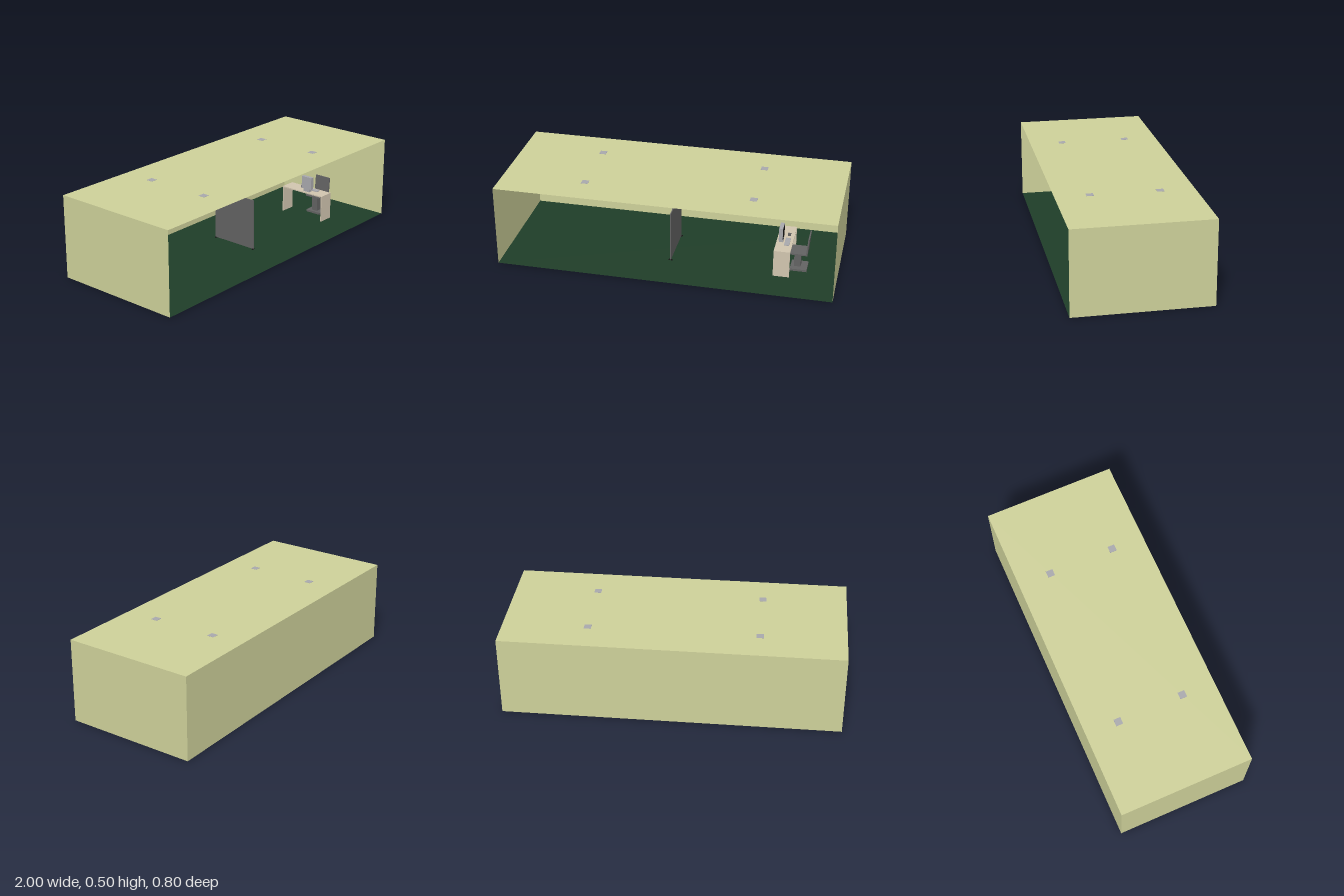
import * as THREE from 'three';

const mat = (color, side = THREE.FrontSide) => new THREE.MeshStandardMaterial({ color, side });
const wallMat = mat(0xcdd099, THREE.DoubleSide);
const floorMat = mat(0x1f3d28, THREE.DoubleSide);
const deskMat = mat(0xd0c4ae);
const greyMat = mat(0xa8a8ac);
const darkMat = mat(0x626262);
const blackMat = mat(0x151515);

// Box given by its low and high corners
function box(parent, name, material, [x0, y0, z0], [x1, y1, z1]) {
  const mesh = new THREE.Mesh(new THREE.BoxGeometry(x1 - x0, y1 - y0, z1 - z0), material);
  mesh.position.set((x0 + x1) / 2, (y0 + y1) / 2, (z0 + z1) / 2);
  mesh.name = name;
  parent.add(mesh);
  return mesh;
}

// Single sheet of the room shell
function sheet(parent, name, material, w, h, position, rotation) {
  const mesh = new THREE.Mesh(new THREE.PlaneGeometry(w, h), material);
  mesh.position.set(...position);
  mesh.rotation.set(...rotation);
  mesh.name = name;
  parent.add(mesh);
}

function group(parent, name) {
  const g = new THREE.Group();
  g.name = name;
  parent.add(g);
  return g;
}

export function createModel() {
  const model = new THREE.Group();
  model.name = 'officeRoom';
  const q = Math.PI / 2;

  // Room shell, open at the front
  const room = group(model, 'room');
  sheet(room, 'floor', floorMat, 2, 0.8, [0, 0, 0], [-q, 0, 0]);
  sheet(room, 'ceiling', wallMat, 2, 0.8, [0, 0.5, 0], [-q, 0, 0]);
  sheet(room, 'backWall', wallMat, 2, 0.5, [0, 0.25, -0.4], [0, 0, 0]);
  for (const s of [-1, 1]) {
    sheet(room, s > 0 ? 'leftWall' : 'rightWall', wallMat, 0.8, 0.5, [s, 0.25, 0], [0, s * q, 0]);
  }

  // Ceiling lights
  const lights = group(model, 'ceilingLights');
  for (const x of [-0.5, 0.5]) for (const z of [-0.2, 0.2]) {
    box(lights, 'ceilingLight', greyMat, [x - 0.021, 0.493, z - 0.021], [x + 0.021, 0.501, z + 0.021]);
  }

  // Free-standing partition with two feet
  const partition = group(model, 'partition');
  box(partition, 'partitionPanel', darkMat, [-0.003, 0.005, -0.15], [0.003, 0.315, 0.15]);
  for (const z of [-0.146, 0.146]) {
    box(partition, 'partitionFoot', blackMat, [-0.011, 0.001, z - 0.004], [0.011, 0.006, z + 0.004]);
  }

  // Desk: top on two side panels
  const desk = group(model, 'desk');
  box(desk, 'deskTop', deskMat, [0.625, 0.163, -0.12], [0.722, 0.17, 0.19]);
  for (const z of [-0.12, 0.184]) {
    box(desk, 'deskSide', deskMat, [0.625, 0.001, z], [0.722, 0.163, z + 0.006]);
  }

  // Computer on the desk
  const computer = group(model, 'computer');
  box(computer, 'monitorStand', greyMat, [0.64, 0.17, 0.035], [0.665, 0.188, 0.08]);
  box(computer, 'monitor', greyMat, [0.64, 0.188, 0.02], [0.663, 0.268, 0.095]);
  box(computer, 'screen', blackMat, [0.662, 0.194, 0.026], [0.665, 0.262, 0.089]);
  box(computer, 'keyboard', greyMat, [0.675, 0.17, 0.03], [0.705, 0.175, 0.115]);
  const mouse = box(computer, 'mouse', darkMat, [0.682, 0.17, -0.016], [0.7, 0.184, -0.002]);
  mouse.geometry.translate(0, 0, 0);

  // Chair facing the desk, with a leaning back
  const chair = group(model, 'chair');
  box(chair, 'chairBase', darkMat, [0.715, 0.001, 0.005], [0.815, 0.014, 0.11]);
  box(chair, 'chairPost', darkMat, [0.735, 0.014, 0.035], [0.775, 0.11, 0.075]);
  box(chair, 'chairSeat', darkMat, [0.71, 0.11, 0.002], [0.815, 0.118, 0.11]);
  const back = box(chair, 'chairBack', darkMat, [0.811, 0.112, 0.002], [0.819, 0.225, 0.11]);
  back.rotation.z = -0.08;

  return model;
}
